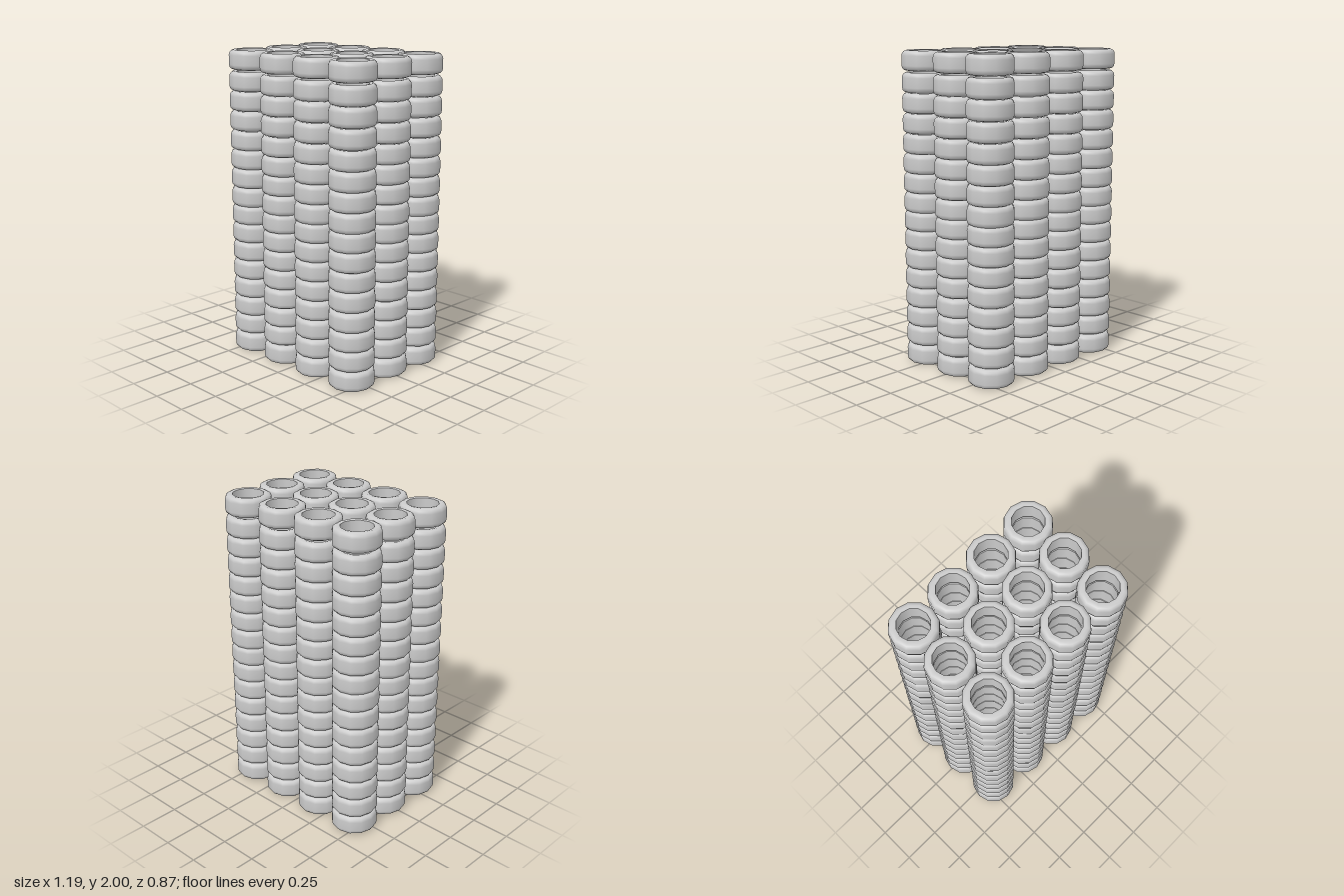
import * as THREE from 'three';
import { mergeGeometries } from 'three/addons/utils/BufferGeometryUtils.js';

const SIDES = 12;
const INNER = 0.098;

// One tyre: rounded outer skin plus a straight inner wall, lathed about y
function tyreGeometry() {
  const upper = [
    [0.146, 0.03], [0.142, 0.046], [0.133, 0.056], [0.118, 0.062], [INNER, 0.059],
  ];
  const lower = upper.map(([r, y]) => [r, -y]).reverse();
  const toPoints = (list) => list.map(([r, y]) => new THREE.Vector2(r, y));
  const skin = new THREE.LatheGeometry(toPoints([...lower, ...upper]), SIDES);
  const wall = new THREE.LatheGeometry(toPoints([[INNER, 0.059], [INNER, -0.059]]), SIDES);
  return mergeGeometries([skin, wall]);
}

export function createModel() {
  const model = new THREE.Group();
  model.name = 'tyreStacks';
  const material = new THREE.MeshStandardMaterial({ color: 0xcccccc });
  const geometry = tyreGeometry();

  // Tyre heights in a stack, with a small gap below the top one
  const heights = [
    0.062, 0.19, 0.315, 0.44, 0.567, 0.692, 0.816, 0.938,
    1.056, 1.18, 1.303, 1.427, 1.553, 1.679, 1.804, 1.938,
  ];

  // Four by three grid of stacks
  for (const z of [-0.293, -0.007, 0.289]) {
    for (let column = 0; column < 4; column++) {
      const stack = new THREE.Group();
      stack.name = 'tyreStack';
      stack.position.set(-0.449 + column * 0.2993, 0, z);
      for (const y of heights) {
        const tyre = new THREE.Mesh(geometry, material);
        tyre.name = 'tyre';
        tyre.position.y = y;
        stack.add(tyre);
      }
      model.add(stack);
    }
  }
  return model;
}
